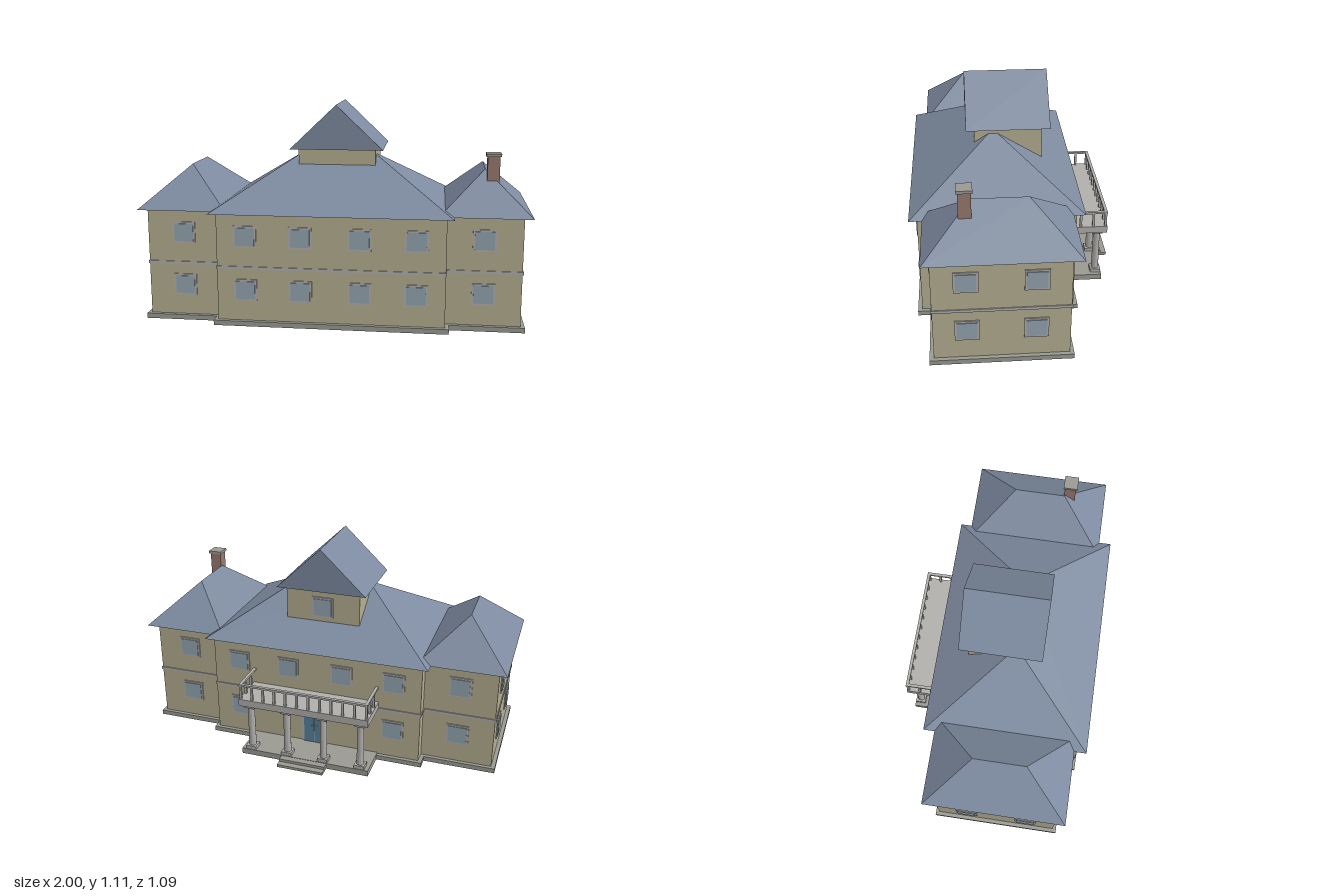
import * as THREE from 'three';

const mat = (color) => new THREE.MeshStandardMaterial({ color, flatShading: true });
const M = {
  wall: mat(0xb3ad90), roof: mat(0x7d8a9f), trim: mat(0xb0afac), stone: mat(0x9a9a93),
  brick: mat(0x98796f), glass: mat(0x94a5b0), door: mat(0x557f9e),
};

export function createModel() {
  const model = new THREE.Group();
  model.name = 'mansion';

  const add = (name, geo, material, parent = model) => {
    const m = new THREE.Mesh(geo, material);
    m.name = name;
    parent.add(m);
    return m;
  };
  // Box given by its extents on each axis
  const box = (name, material, x0, x1, y0, y1, z0, z1, parent) => {
    const m = add(name, new THREE.BoxGeometry(x1 - x0, y1 - y0, z1 - z0), material, parent);
    m.position.set((x0 + x1) / 2, (y0 + y1) / 2, (z0 + z1) / 2);
    return m;
  };
  // Roof: a box whose top shrinks to a ridge (half lengths rx, rz)
  const roof = (name, x0, x1, y0, y1, z0, z1, rx, rz) => {
    const m = box(name, M.roof, x0, x1, y0, y1, z0, z1);
    const p = m.geometry.attributes.position;
    for (let i = 0; i < p.count; i++) {
      if (p.getY(i) > 0) {
        p.setX(i, Math.sign(p.getX(i)) * rx);
        p.setZ(i, Math.sign(p.getZ(i)) * rz);
      }
    }
    m.geometry.computeVertexNormals();
    return m;
  };
  // Framed window facing +z before the turn
  const addWindow = (x, y, z, turn) => {
    const g = new THREE.Group();
    g.name = 'window';
    box('windowFrame', M.trim, -0.059, 0.059, -0.056, 0.056, -0.01, 0.006, g);
    box('windowPane', M.glass, -0.049, 0.049, -0.046, 0.046, -0.01, 0.01, g);
    g.position.set(x, y, z);
    g.rotation.y = turn;
    model.add(g);
  };

  // Central block
  box('mainBase', M.stone, -0.6, 0.6, 0, 0.026, -0.31, 0.522);
  box('mainWalls', M.wall, -0.58, 0.58, 0.026, 0.587, -0.29, 0.5);
  box('mainStringCourse', M.trim, -0.585, 0.585, 0.296, 0.311, -0.295, 0.505);
  roof('mainRoof', -0.615, 0.615, 0.585, 0.859, -0.33, 0.54, 0.18, 0);

  // Side wings
  for (const s of [-1, 1]) {
    const span = (a, b) => (s > 0 ? [a, b] : [-b, -a]);
    box('wingBase', M.stone, ...span(0.5, 0.978), 0, 0.026, -0.242, 0.457);
    box('wingWalls', M.wall, ...span(0.5, 0.957), 0.026, 0.587, -0.222, 0.436);
    box('wingStringCourse', M.trim, ...span(0.5, 0.962), 0.296, 0.311, -0.227, 0.441);
    roof('wingRoof', ...span(0.537, 1), 0.585, 0.795, -0.27, 0.475, 0, 0.137);
  }

  // Windows on both floors
  for (const y of [0.188, 0.466]) {
    for (const s of [-1, 1]) {
      for (const z of [0.273, -0.057]) addWindow(s * 0.957, y, z, s * Math.PI / 2);
      addWindow(s * 0.767, y, 0.436, 0);
      addWindow(s * 0.767, y, -0.222, Math.PI);
      for (const x of [0.15, 0.433]) {
        addWindow(s * x, y, 0.5, 0);
        if (y > 0.3 || x > 0.3) addWindow(s * x, y, -0.29, Math.PI);
      }
    }
  }

  // Roof lantern with gable
  box('lanternWalls', M.wall, -0.203, 0.203, 0.6, 0.882, -0.15, 0.203);
  roof('lanternRoof', -0.245, 0.245, 0.88, 1.113, -0.19, 0.245, 0, 0.2175);
  addWindow(0, 0.78, -0.15, Math.PI);

  // Chimney
  box('chimney', M.brick, 0.776, 0.838, 0.73, 0.867, 0.236, 0.298);
  box('chimneyCap', M.stone, 0.769, 0.845, 0.865, 0.88, 0.229, 0.305);

  // Rear porch floor and steps
  box('porchFloor', M.stone, -0.355, 0.355, 0, 0.032, -0.478, -0.28);
  box('upperStep', M.stone, -0.127, 0.127, 0, 0.03, -0.512, -0.47);
  box('lowerStep', M.stone, -0.127, 0.127, 0, 0.015, -0.545, -0.5);

  // Double door
  box('doorFrame', M.trim, -0.075, 0.075, 0.03, 0.262, -0.295, -0.28);
  for (const s of [-1, 1]) {
    const leaf = box('doorLeaf', M.door, -0.029, 0.029, 0.032, 0.25, -0.3, -0.28);
    leaf.position.x = s * 0.031;
    const knob = add('doorKnob', new THREE.SphereGeometry(0.005, 8, 6), M.stone);
    knob.position.set(s * 0.012, 0.14, -0.302);
  }

  // Porch columns
  for (let i = 0; i < 4; i++) {
    const x = -0.305 + i * 0.2033;
    box('columnBase', M.trim, x - 0.028, x + 0.028, 0.032, 0.052, -0.475, -0.419);
    const shaft = add('columnShaft', new THREE.CylinderGeometry(0.018, 0.02, 0.236, 12), M.trim);
    shaft.position.set(x, 0.169, -0.447);
    box('columnCapital', M.trim, x - 0.028, x + 0.028, 0.286, 0.308, -0.475, -0.419);
  }

  // Balcony slab and railing
  box('balconySlab', M.trim, -0.355, 0.355, 0.306, 0.345, -0.495, -0.28);
  box('backRail', M.trim, -0.352, 0.352, 0.422, 0.433, -0.493, -0.477);
  const baluster = (x, z) =>
    box('baluster', M.trim, x - 0.006, x + 0.006, 0.34, 0.424, z - 0.006, z + 0.006);
  for (let i = 0; i <= 11; i++) baluster(-0.344 + i * 0.06255, -0.485);
  for (const s of [-1, 1]) {
    const rail = box('sideRail', M.trim, -0.008, 0.008, 0.422, 0.433, -0.493, -0.28);
    rail.position.x = s * 0.344;
    for (const z of [-0.352, -0.42]) baluster(s * 0.344, z);
  }

  return model;
}
